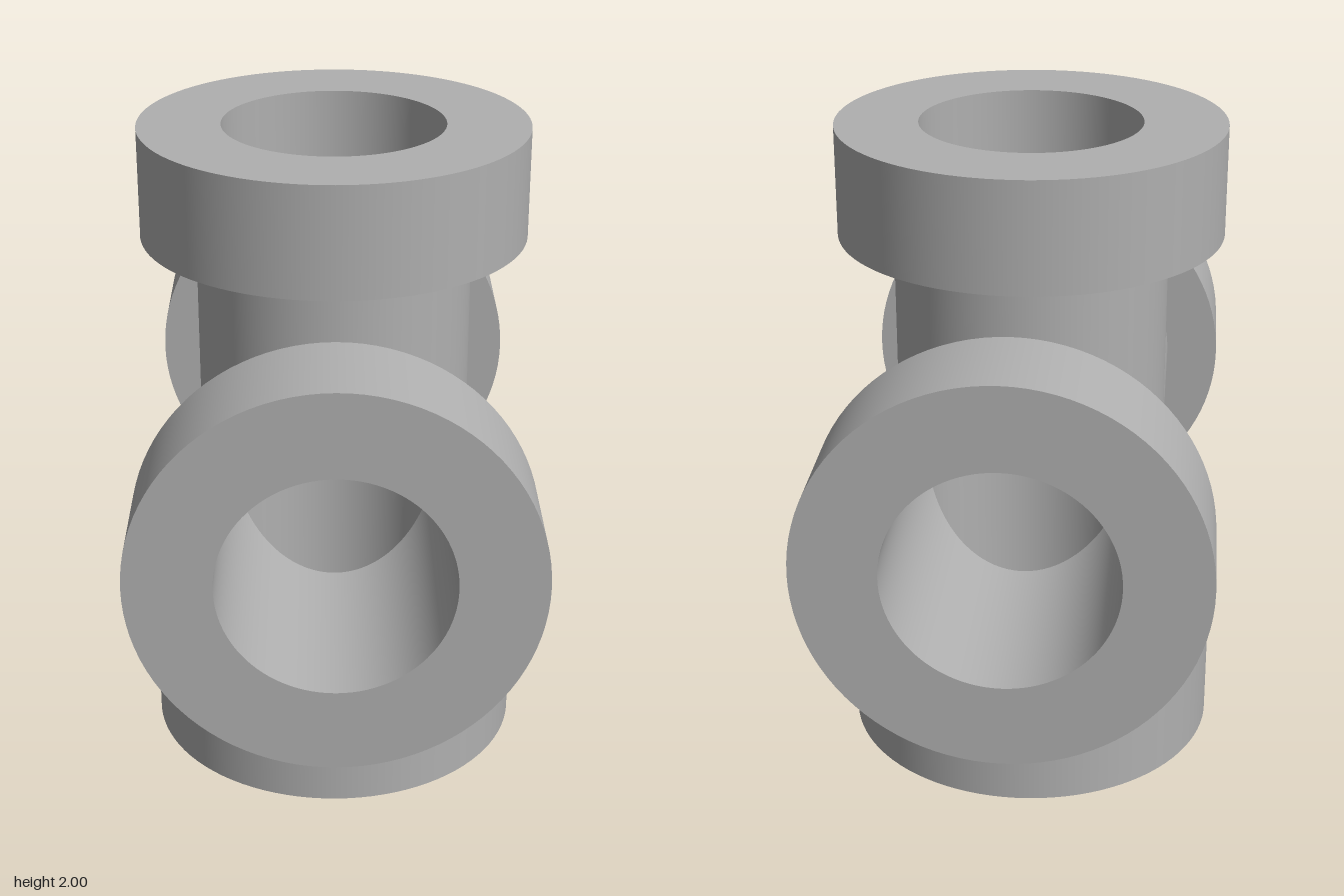
import * as THREE from 'three';

const SEG = 96;
const BORE = 0.333, PIPE = 0.415, FLANGE = 0.582;
const FLANGE_BACK = 0.667, END = 1;

// Open tube from y = 0 to y = top, with its lower rim mitred to y = |z|
function mitredTube(radius, top) {
  const geo = new THREE.CylinderGeometry(radius, radius, top, SEG, 1, true);
  geo.translate(0, top / 2, 0);
  const pos = geo.attributes.position;
  for (let i = 0; i < pos.count; i++) {
    if (pos.getY(i) < top / 2) pos.setY(i, Math.abs(pos.getZ(i)));
  }
  return geo;
}

// Turn a surface so that it faces inwards
function turnInside(geo) {
  const index = geo.index, normal = geo.attributes.normal;
  for (let i = 0; i < index.count; i += 3) {
    const a = index.getX(i);
    index.setX(i, index.getX(i + 1));
    index.setX(i + 1, a);
  }
  for (let i = 0; i < normal.count; i++) {
    normal.setXYZ(i, -normal.getX(i), -normal.getY(i), -normal.getZ(i));
  }
  return geo;
}

// Flat annulus at height y, facing up (1) or down (-1)
function annulus(inner, outer, y, facing) {
  return new THREE.RingGeometry(inner, outer, SEG, 1)
    .rotateX(-facing * Math.PI / 2)
    .translate(0, y, 0);
}

export function createModel() {
  const model = new THREE.Group();
  model.name = 'crossPipeFitting';
  const grey = new THREE.MeshStandardMaterial({ color: 0xb0b0b0 });
  grey.name = 'grey';

  const flangeLength = END - FLANGE_BACK;
  const parts = {
    pipe: mitredTube(PIPE, FLANGE_BACK),
    bore: turnInside(mitredTube(BORE, END)),
    flangeRim: new THREE.CylinderGeometry(FLANGE, FLANGE, flangeLength, SEG, 1, true)
      .translate(0, FLANGE_BACK + flangeLength / 2, 0),
    flangeFace: annulus(BORE, FLANGE, END, 1),
    flangeBack: annulus(PIPE, FLANGE, FLANGE_BACK, -1),
  };

  // Four equal arms meet along the mitres at the centre
  ['topArm', 'frontArm', 'bottomArm', 'backArm'].forEach((name, i) => {
    const arm = new THREE.Group();
    arm.name = name;
    for (const [part, geo] of Object.entries(parts)) {
      const mesh = new THREE.Mesh(geo, grey);
      mesh.name = part;
      arm.add(mesh);
    }
    arm.position.y = 1;
    arm.rotation.x = i * Math.PI / 2;
    model.add(arm);
  });
  return model;
}
